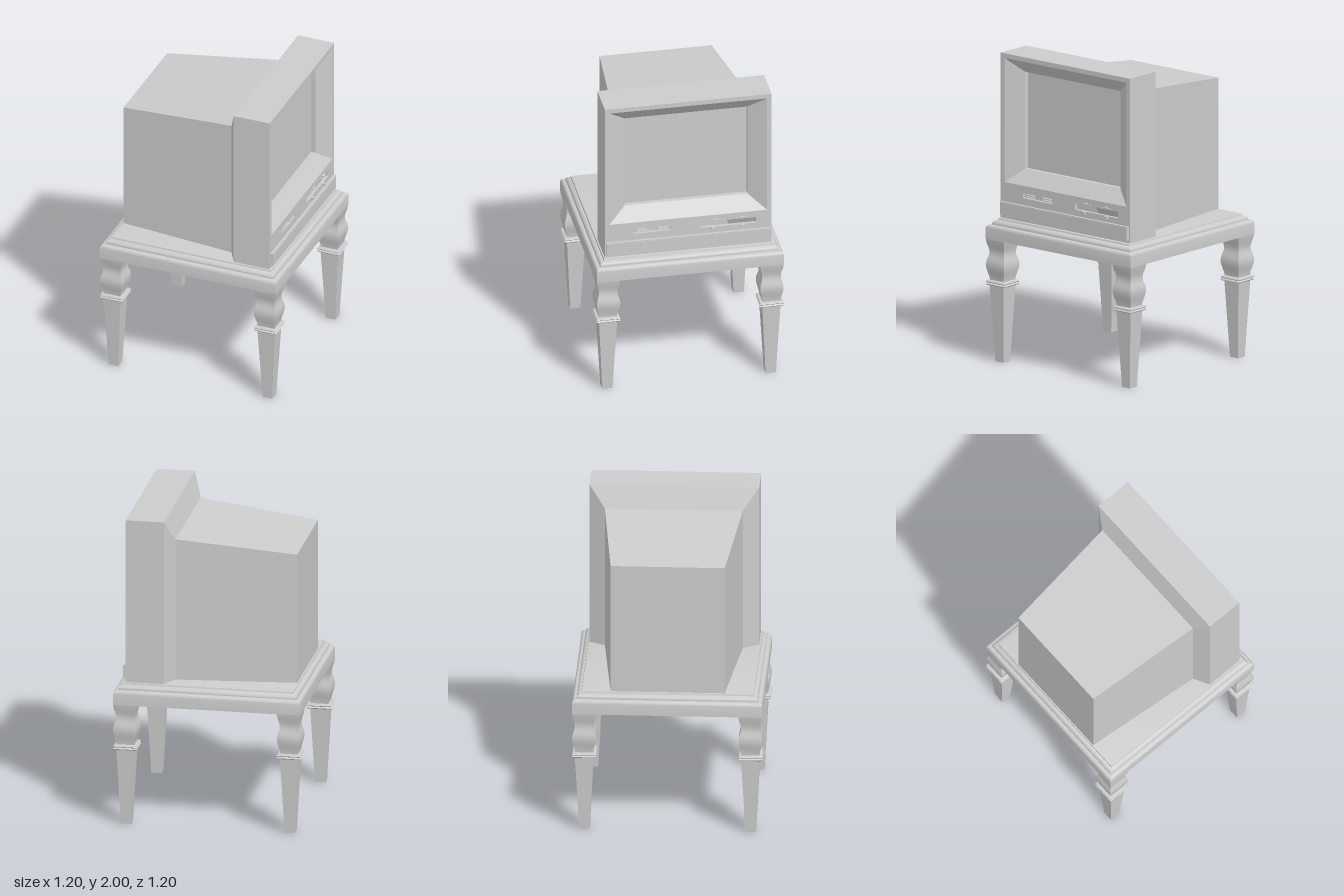
import * as THREE from 'three';
import { toCreasedNormals } from 'three/addons/utils/BufferGeometryUtils.js';

const grey = new THREE.MeshStandardMaterial({ color: 0xcccccc });
grey.name = 'plain grey';

function add(parent, name, geometry) {
  const mesh = new THREE.Mesh(geometry, grey);
  mesh.name = name;
  parent.add(mesh);
  return mesh;
}

// Square turned profile: [half width, y] from bottom to top
function squareTurned(profile) {
  const points = profile.map(([w, y]) => new THREE.Vector2(w * Math.SQRT2, y));
  const geometry = new THREE.LatheGeometry(points, 4);
  geometry.rotateY(Math.PI / 4);
  return toCreasedNormals(geometry, 0.65);
}

// Rectangular sections [x, z0, z1, y0, y1] joined along x
function loft(sections, startCap, endCap) {
  const rings = sections.map(([x, z0, z1, y0, y1]) =>
    [[x, y0, z1], [x, y0, z0], [x, y1, z0], [x, y1, z1]]);
  const out = [];
  const quad = (a, b, c, d) => out.push(...a, ...b, ...c, ...a, ...c, ...d);
  for (let i = 0; i + 1 < rings.length; i++) {
    const a = rings[i], b = rings[i + 1];
    for (let k = 0; k < 4; k++) quad(a[k], a[(k + 1) % 4], b[(k + 1) % 4], b[k]);
  }
  const last = rings[rings.length - 1];
  if (startCap) quad(rings[0][3], rings[0][2], rings[0][1], rings[0][0]);
  if (endCap) quad(...last);
  const geometry = new THREE.BufferGeometry();
  geometry.setAttribute('position', new THREE.Float32BufferAttribute(out, 3));
  geometry.computeVertexNormals();
  return geometry;
}

function box(x0, x1, y0, y1, z0, z1) {
  return new THREE.BoxGeometry(x1 - x0, y1 - y0, z1 - z0)
    .translate((x0 + x1) / 2, (y0 + y1) / 2, (z0 + z1) / 2);
}

// Rectangle outline on the +x face, where shape x is -z
function rectangle(path, z0, z1, y0, y1) {
  path.moveTo(-z1, y0);
  path.lineTo(-z0, y0);
  path.lineTo(-z0, y1);
  path.lineTo(-z1, y1);
  path.closePath();
  return path;
}

function createTable() {
  const table = new THREE.Group();
  table.name = 'table';
  // Apron with rounded shoulder, groove and moulded top
  add(table, 'tableTop', squareTurned([
    [0, 0.795], [0.6, 0.795], [0.6, 0.865], [0.597, 0.878], [0.588, 0.886], [0.572, 0.888],
    [0.572, 0.897], [0.567, 0.907], [0.555, 0.914], [0.545, 0.918], [0.542, 0.928],
    [0.53, 0.932], [0, 0.932],
  ]));
  // Shaped upper leg, double ring and tapered foot
  const leg = squareTurned([
    [0, 0], [0.033, 0], [0.058, 0.495], [0.072, 0.498], [0.076, 0.504], [0.072, 0.51],
    [0.067, 0.512], [0.072, 0.514], [0.076, 0.519], [0.072, 0.526], [0.057, 0.53],
    [0.059, 0.55], [0.067, 0.58], [0.074, 0.61], [0.075, 0.635], [0.071, 0.66],
    [0.062, 0.685], [0.059, 0.71], [0.062, 0.735], [0.071, 0.765], [0.076, 0.796],
  ]);
  for (const x of [-1, 1]) for (const z of [-1, 1]) {
    const name = (z > 0 ? 'front' : 'back') + (x > 0 ? 'Left' : 'Right') + 'Leg';
    add(table, name, leg).position.set(x * 0.524, 0, z * 0.524);
  }
  return table;
}

function createTelevision() {
  const tv = new THREE.Group();
  tv.name = 'television';
  const front = 0.53, bottom = 0.93;

  // Tapered rear housing flaring into the front cabinet
  add(tv, 'cabinet', loft([
    [-0.535, -0.36, 0.36, bottom, 1.78], [0.23, -0.435, 0.435, bottom, 1.86],
    [0.285, -0.535, 0.535, bottom, 2], [front, -0.535, 0.535, bottom, 2],
  ], true, false));

  // Front face with openings for the screen and control slots
  const screen = [-0.505, 0.505, 1.165, 1.97];
  const slots = [[0.11, 0.35, 1.085, 1.117], [-0.435, -0.08, 1.08, 1.12]];
  const face = rectangle(new THREE.Shape(), -0.535, 0.535, bottom, 2);
  for (const hole of [screen, ...slots]) face.holes.push(rectangle(new THREE.Path(), ...hole));
  add(tv, 'frontFace', new THREE.ShapeGeometry(face).rotateY(Math.PI / 2).translate(front, 0, 0));

  // Sloped surround and inset screen
  const glass = [-0.395, 0.395, 1.255, 1.885];
  add(tv, 'screenSurround', loft([[front, ...screen], [0.46, ...glass], [0.43, ...glass]], false, false));
  add(tv, 'screen', loft([[0.43, ...glass]], false, true));

  // Control slots
  for (const slot of slots) {
    add(tv, 'controlSlot', loft([[front, ...slot], [0.51, ...slot]], false, true));
  }
  for (const y of [1.094, 1.108]) for (const z of [0.16, 0.30]) {
    add(tv, 'slotBar', box(0.51, 0.528, y - 0.003, y + 0.003, z - 0.035, z + 0.035));
  }
  // Downward sloping half of the right slot
  const wedge = new THREE.Shape([[0.51, 1.08], [front, 1.12], [0.51, 1.12]]
    .map(([x, y]) => new THREE.Vector2(x, y)));
  add(tv, 'slotRamp', new THREE.ExtrudeGeometry(wedge, { depth: 0.18, bevelEnabled: false })
    .translate(0, 0, -0.435));

  // Sliders and knobs
  for (const z of [-0.175, -0.34]) {
    add(tv, 'slider', box(front, 0.535, 1.122, 1.132, z - 0.037, z + 0.037));
    add(tv, 'sliderTab', box(front, 0.545, 1.13, 1.138, z - 0.012, z + 0.012));
  }
  for (const z of [-0.16, -0.345]) {
    add(tv, 'knob', box(front, 0.547, 1.062, 1.08, z - 0.011, z + 0.011));
  }

  // Lower flap
  add(tv, 'flap', box(front, 0.548, 0.95, 1.04, -0.525, 0.525));
  add(tv, 'flapPanel', box(0.548, 0.551, 0.956, 1.034, -0.519, 0.519));
  return tv;
}

export function createModel() {
  const model = new THREE.Group();
  model.name = 'televisionOnTable';
  model.add(createTable(), createTelevision());
  return model;
}
